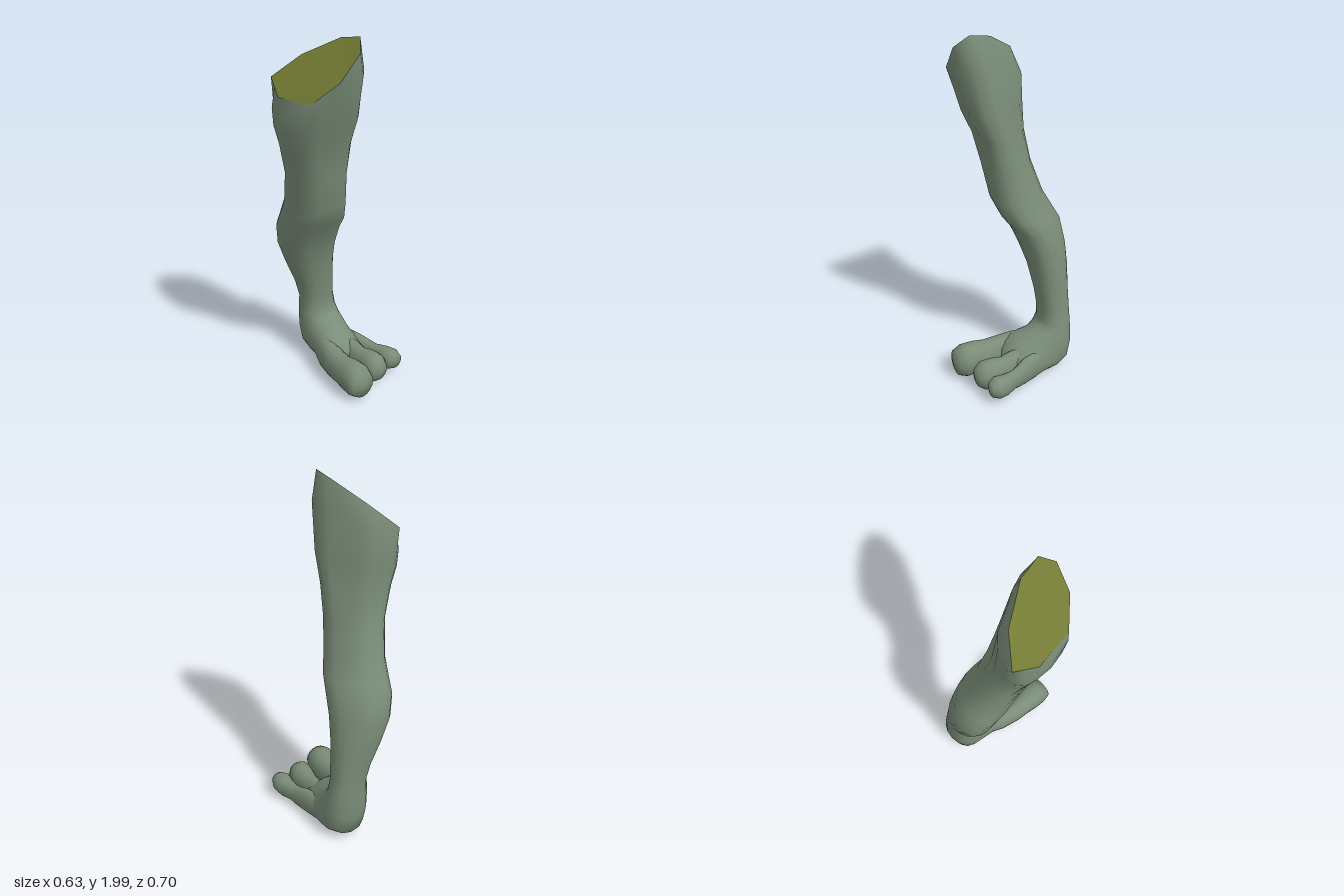
import * as THREE from 'three';

const SIDES = 16;
const skin = new THREE.MeshStandardMaterial({ color: 0x7a8d78 });
const cut = new THREE.MeshStandardMaterial({ color: 0x737b34 });

// Skin a list of rings; a tip point closes the far end.
function loft(rings, tip) {
  const pos = [], idx = [];
  rings.forEach(r => r.forEach(p => pos.push(p.x, p.y, p.z)));
  pos.push(...tip);
  for (let i = 0; i < rings.length; i++) {
    for (let j = 0; j < SIDES; j++) {
      const a = i * SIDES + j, b = i * SIDES + (j + 1) % SIDES;
      if (i < rings.length - 1) idx.push(a, a + SIDES, b, b, a + SIDES, b + SIDES);
      else idx.push(a, rings.length * SIDES, b);
    }
  }
  const g = new THREE.BufferGeometry();
  g.setAttribute('position', new THREE.Float32BufferAttribute(pos, 3));
  g.setIndex(idx);
  g.computeVertexNormals();
  return g;
}

// Slightly squared-off circle value
const full = v => Math.sign(v) * Math.pow(Math.abs(v), 0.88);

// Leg ring: x range, front/top point (z, y), back/bottom point (z, y), skew in degrees,
// bulge (fills the outer front corner, flattens the inner back one), sideways tilt
function legRing([x0, x1, zf, yf, zb, yb, skew = 0, bulge = 0, tilt = 0]) {
  return Array.from({ length: SIDES }, (_, j) => {
    const a = j / SIDES * Math.PI * 2;
    const s = full(Math.sin(a));
    const t = (full(Math.cos(a - skew * Math.PI / 180)) + 1) / 2;
    const dx = s * (x1 - x0) / 2;
    const f = bulge * Math.max(0, -Math.sin(2 * a)) ** 2;
    return new THREE.Vector3((x0 + x1) / 2 + dx - f, yb + (yf - yb) * t + tilt * dx, zb + (zf - zb) * t + f);
  });
}

// Toe ring: centre and half sizes
const toeRing = ([x, y, z, rx, ry]) => Array.from({ length: SIDES }, (_, j) => {
  const a = j / SIDES * Math.PI * 2;
  return new THREE.Vector3(x + rx * Math.sin(a), y + ry * Math.cos(a), z);
});

export function createModel() {
  const group = new THREE.Group();
  const add = (name, geo, mat = skin) => {
    const m = new THREE.Mesh(geo, mat);
    m.name = name;
    group.add(m);
  };

  // Slanted cut outline at the top of the thigh, eight corners plus midpoints
  const corners = [[-0.17, 1.815, 0.275], [-0.06, 1.94, 0.285], [-0.01, 2, 0.22], [-0.03, 1.98, 0.1],
    [-0.14, 1.885, -0.07], [-0.265, 1.775, -0.16], [-0.31, 1.705, -0.035], [-0.275, 1.705, 0.18]]
    .map(p => new THREE.Vector3(...p));
  const top = corners.flatMap((p, i) => [p, p.clone().lerp(corners[(i + 1) % 8], 0.5)]);

  // Thigh, knee, calf, ankle, heel and midfoot as one skin
  const sections = [
    [-0.312, 0.03, 0.265, 1.74, -0.155, 1.74, 26, 0.028, 0.65],
    [-0.31, 0.048, 0.208, 1.57, -0.15, 1.57, 22, 0.03, 0.15],
    [-0.28, 0.05, 0.145, 1.44, -0.145, 1.44, 18, 0.028],
    [-0.235, 0.055, 0.11, 1.27, -0.17, 1.27, 14, 0.02],
    [-0.207, 0.075, 0.08, 1.08, -0.235, 1.08, 13, 0.015],
    [-0.202, 0.105, 0.035, 0.98, -0.29, 0.98, 14, 0.015],
    [-0.198, 0.122, -0.025, 0.9, -0.335, 0.9, 13, 0.015],
    [-0.178, 0.13, -0.08, 0.78, -0.352, 0.78, 11, 0.012],
    [-0.13, 0.14, -0.12, 0.65, -0.347, 0.65, 8, 0.005],
    [-0.07, 0.15, -0.143, 0.5, -0.333, 0.5, 4],
    [-0.045, 0.16, -0.153, 0.4, -0.33, 0.4],
    [-0.05, 0.178, -0.155, 0.32, -0.332, 0.29],
    [-0.052, 0.193, -0.13, 0.287, -0.334, 0.17],
    [-0.05, 0.2, -0.09, 0.267, -0.312, 0.055],
    [-0.058, 0.205, -0.05, 0.247, -0.23, 0.018, -8],
    [-0.07, 0.208, 0, 0.222, -0.1, 0.006, -12],
    [-0.078, 0.203, 0.04, 0.192, -0.01, 0.01, -12],
    [-0.055, 0.178, 0.075, 0.155, 0.055, 0.04, -8],
  ];
  add('leg', loft([top, ...sections.map(legRing)], [0.07, 0.1, 0.085]));

  // Flat face closing the top
  const cap = new THREE.BufferGeometry().setFromPoints(corners);
  cap.setIndex([1, 2, 3, 4, 5, 6].flatMap(i => [0, i, i + 1]));
  cap.computeVertexNormals();
  add('thighCut', cap, cut);

  // Three bulbous toes rooted in the midfoot
  const toes = {
    bigToe: [[-0.05, 0.105, 0.353], [
      [0.01, 0.12, -0.15, 0.05, 0.08], [-0.025, 0.115, -0.03, 0.062, 0.1], [-0.04, 0.108, 0.08, 0.07, 0.094],
      [-0.045, 0.107, 0.15, 0.071, 0.09], [-0.045, 0.11, 0.22, 0.081, 0.1], [-0.045, 0.11, 0.285, 0.085, 0.102],
      [-0.048, 0.107, 0.335, 0.071, 0.077]]],
    middleToe: [[0.12, 0.1, 0.3], [
      [0.09, 0.105, -0.14, 0.05, 0.08], [0.107, 0.102, -0.02, 0.055, 0.095], [0.112, 0.098, 0.06, 0.058, 0.086],
      [0.113, 0.096, 0.12, 0.055, 0.075], [0.12, 0.098, 0.19, 0.07, 0.09], [0.12, 0.098, 0.245, 0.071, 0.09],
      [0.12, 0.1, 0.285, 0.05, 0.057]]],
    outerToe: [[0.257, 0.1, 0.28], [
      [0.14, 0.1, -0.15, 0.05, 0.08], [0.172, 0.097, -0.05, 0.045, 0.086], [0.193, 0.093, 0.02, 0.045, 0.08],
      [0.213, 0.09, 0.07, 0.04, 0.068], [0.225, 0.089, 0.11, 0.037, 0.06], [0.245, 0.092, 0.17, 0.051, 0.064],
      [0.25, 0.097, 0.225, 0.061, 0.066], [0.255, 0.1, 0.265, 0.043, 0.046]]],
  };
  for (const [name, [tip, rings]] of Object.entries(toes)) add(name, loft(rings.map(toeRing), tip));

  return group;
}
